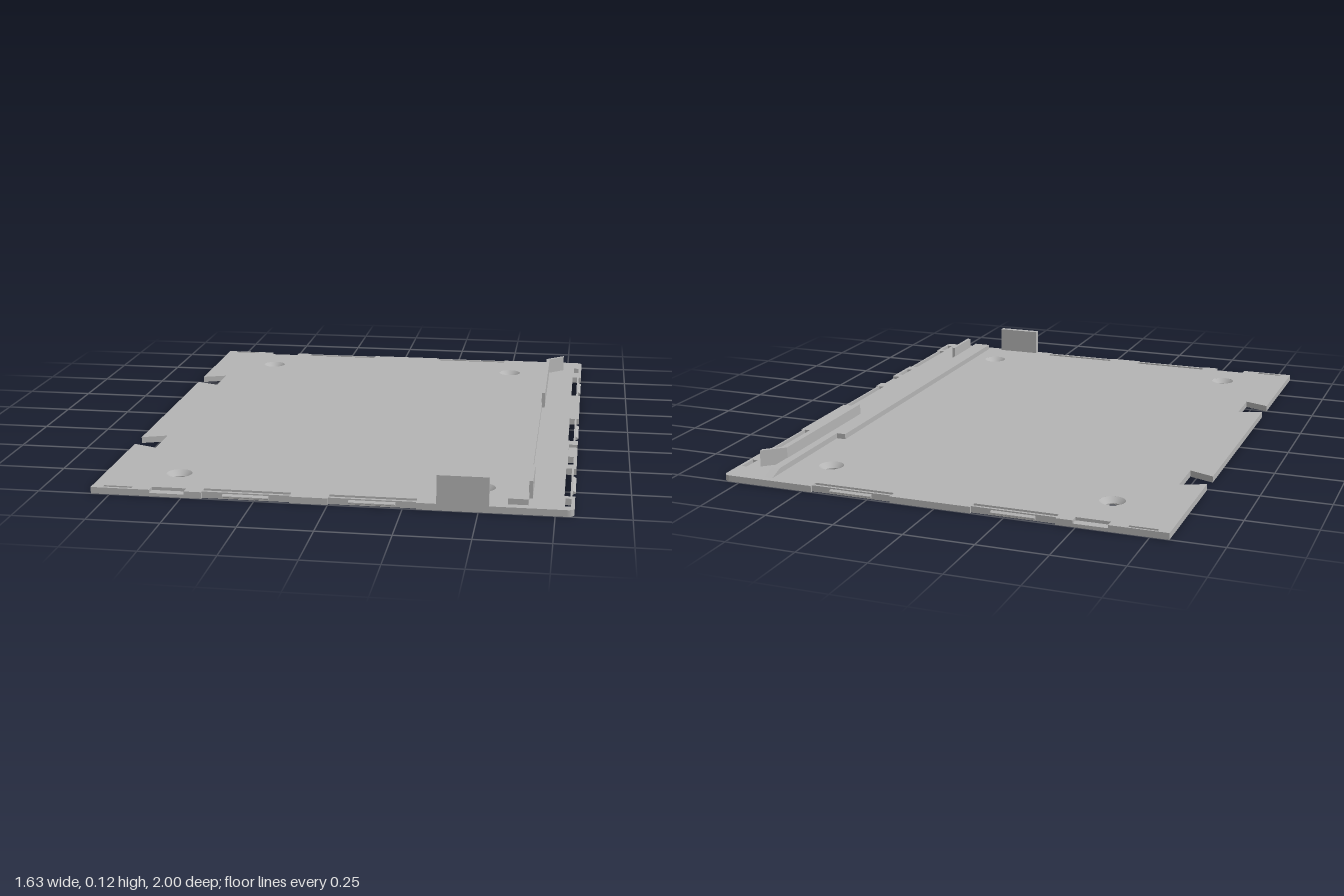
import * as THREE from 'three';

const TOP = 0.023, LEDGE = 0.012, XR = 0.812, XL = -0.815;
const grey = new THREE.MeshStandardMaterial({ color: 0xb4b4b4 });
grey.name = 'plain grey';

// Plan coordinates (x, z) extruded upward from y0 to y1
const plan = (pts) => pts.map(([x, z]) => new THREE.Vector2(x, -z));
function extrudePlan(shape, y0, y1) {
  const g = new THREE.ExtrudeGeometry(shape, { depth: y1 - y0, bevelEnabled: false, curveSegments: 32 });
  return g.rotateX(-Math.PI / 2).translate(0, y0, 0);
}

// Snap strips [start, end] on each edge
const frontClips = [[-0.43, -0.13], [0, 0.295]];
const backClips = [[-0.43, -0.13], [0.165, 0.465]];
const sideClips = [[-0.735, -0.435], [-0.08, 0.22], [0.56, 0.86]];
const screws = [[-0.557, -0.78], [0.5, -0.78], [-0.557, 0.81], [0.5, 0.81]];

// Plate outline with shallow edge notches and dovetail cutouts
function plateShape(withLedges) {
  const strip = (c) => c.map(([a, b]) => [a, b, 0.009]);
  const extra = (a, b) => (withLedges ? [[a, b, 0.032]] : []);
  const front = [...extra(-0.61, -0.49), ...strip(frontClips)];
  const back = [...extra(-0.61, -0.49), ...strip(backClips)].reverse();
  const side = [...strip(sideClips), ...extra(0.27, 0.385)].sort((p, q) => q[0] - p[0]);
  const pts = [[XL, 1]];
  for (const [a, b, d] of front) pts.push([a, 1], [a, 1 - d], [b, 1 - d], [b, 1]);
  const r = 0.022;
  for (let i = 0; i <= 6; i++) {
    const t = (i / 6) * Math.PI / 2;
    pts.push([XR - r + r * Math.sin(t), 1 - r + r * Math.cos(t)]);
  }
  for (const [a, b, d] of side) pts.push([XR, b], [XR - d, b], [XR - d, a], [XR, a]);
  for (let i = 0; i <= 6; i++) {
    const t = (i / 6) * Math.PI / 2;
    pts.push([XR - r + r * Math.cos(t), -1 + r - r * Math.sin(t)]);
  }
  for (const [a, b, d] of back) pts.push([b, -1], [b, -1 + d], [a, -1 + d], [a, -1]);
  pts.push([XL, -1]);
  for (const c of [-0.467, 0.453])
    pts.push([XL, c - 0.043], [-0.725, c - 0.078], [-0.725, c + 0.078], [XL, c + 0.043]);
  const shape = new THREE.Shape(plan(pts));

  // Slots cut right through the plate
  const slot = (x0, x1, z0, z1) =>
    shape.holes.push(new THREE.Path(plan([[x0, z0], [x0, z1], [x1, z1], [x1, z0]])));
  frontClips.forEach(([a, b]) => slot(a, b, 0.959, 0.979));
  backClips.forEach(([a, b]) => slot(a, b, -0.981, -0.964));
  sideClips.forEach(([a, b]) => slot(0.776, 0.796, a, b));
  slot(-0.775, -0.675, 0.975, 0.989);
  slot(-0.775, -0.675, -0.993, -0.98);
  [[-0.895, -0.82], [0.42, 0.51], [0.885, 0.962]].forEach(([a, b]) => slot(0.78, 0.8, a, b));

  // Openings for the screw seats
  for (const [x, z] of screws) shape.holes.push(new THREE.Path().absarc(x, -z, 0.045, 0, Math.PI * 2, true));
  return shape;
}

export function createModel() {
  const model = new THREE.Group();
  model.name = 'coverPanel';
  const add = (name, geometry) => {
    const m = new THREE.Mesh(geometry, grey);
    m.name = name;
    model.add(m);
    return m;
  };
  const box = (name, x0, x1, y0, y1, z0, z1) =>
    add(name, new THREE.BoxGeometry(x1 - x0, y1 - y0, z1 - z0)
      .translate((x0 + x1) / 2, (y0 + y1) / 2, (z0 + z1) / 2));

  // Base plate in two layers, the upper one cut by the ledges
  add('plateLower', extrudePlan(plateShape(false), 0, LEDGE));
  add('plateUpper', extrudePlan(plateShape(true), LEDGE, TOP));

  // Countersunk screw seats
  const seat = new THREE.LatheGeometry(
    [[0.045, TOP], [0.025, 0.005], [0.025, 0.005], [0.025, 0], [0.025, 0], [0.045, 0]]
      .map(([r, y]) => new THREE.Vector2(r, y)), 32);
  for (const [x, z] of screws) add('screwSeat', seat).position.set(x, 0, z);

  // Wedge-shaped snap bumps on the flexible strips
  const wedge = new THREE.Shape([[-0.001, 0.004], [0.01, 0.009], [0.01, 0.013], [-0.001, 0.019]]
    .map(([x, y]) => new THREE.Vector2(x, y)));
  const bump = new THREE.ExtrudeGeometry(wedge, { depth: 0.157, bevelEnabled: false }).translate(0, 0, -0.0785);
  const addBump = (x, z, turn) => {
    const m = add('snapBump', bump);
    m.position.set(x, 0, z);
    m.rotation.y = turn;
  };
  frontClips.forEach(([a, b]) => addBump((a + b) / 2, 0.991, -Math.PI / 2));
  backClips.forEach(([a, b]) => addBump((a + b) / 2, -0.991, Math.PI / 2));
  sideClips.forEach(([a, b]) => addBump(XR - 0.009, (a + b) / 2, 0));

  // Guide rail: wide front run and narrow back run with a sloped end
  box('railWide', 0.595, 0.63, TOP, 0.043, -0.488, 0.97);
  const profile = new THREE.Shape([[-0.97, TOP], [-0.97, 0.043], [0.92, 0.043], [0.975, TOP]]
    .map(([x, y]) => new THREE.Vector2(x, y)));
  add('railNarrow', new THREE.ExtrudeGeometry(profile, { depth: 0.032, bevelEnabled: false })
    .rotateY(Math.PI / 2).translate(0.63, 0, 0));

  // Upright guide walls beside the rail, the back one flared outward
  box('frontGuideWall', 0.66, 0.673, TOP, 0.083, 0.72, 0.9);
  add('backGuideWall', extrudePlan(new THREE.Shape(plan([
    [0.66, -0.23], [0.673, -0.23], [0.673, -0.805], [0.733, -0.86], [0.733, -0.878], [0.66, -0.812],
  ])), TOP, 0.083));

  // Tall tab on the front edge
  box('frontTab', 0.362, 0.535, TOP, 0.122, 0.976, 1);
  return model;
}
